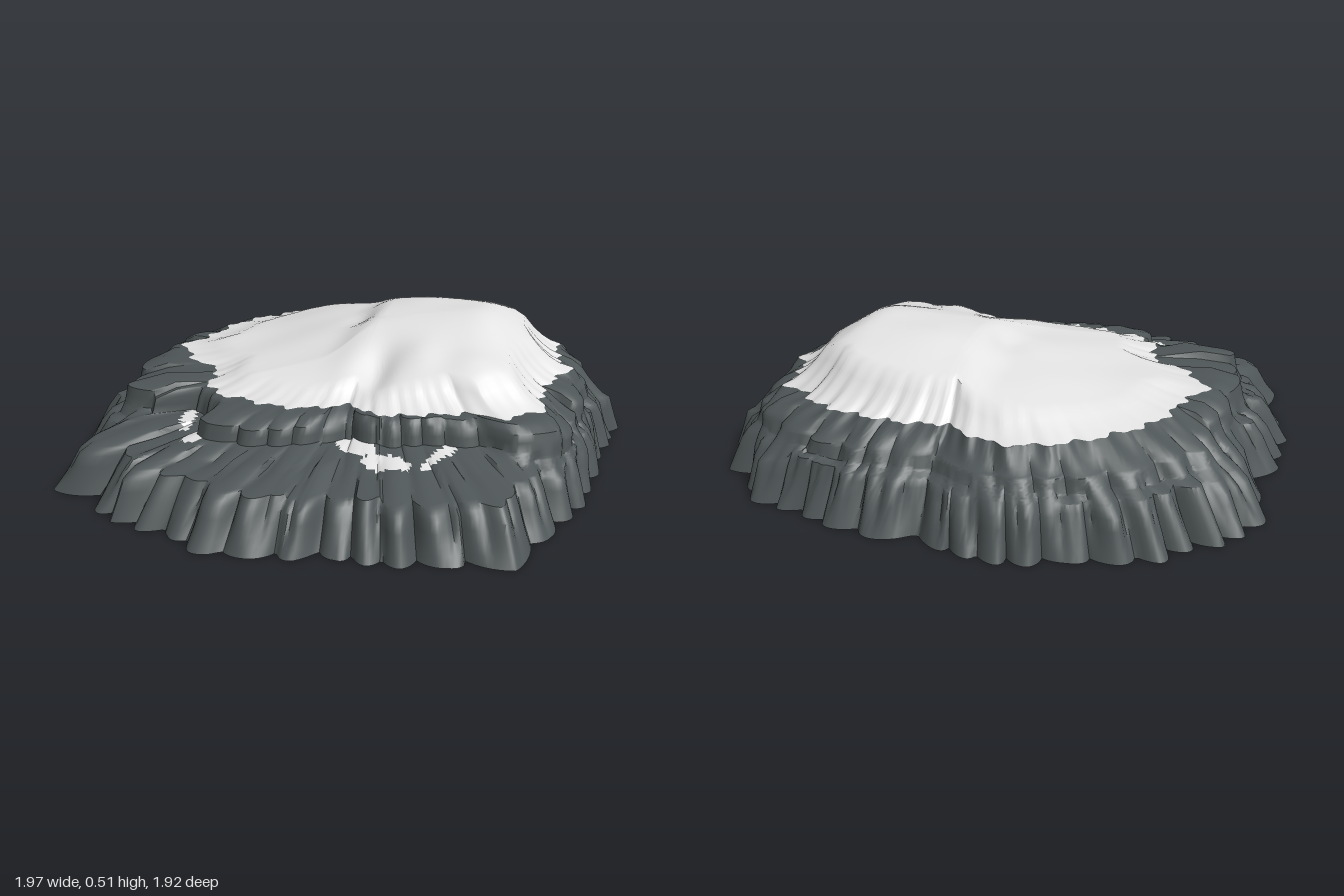
import * as THREE from 'three';
import { toCreasedNormals } from 'three/addons/utils/BufferGeometryUtils.js';

const CX = 0.08, CZ = -0.12, N = 600;
const TAU = Math.PI * 2;

// Plan outlines, listed as x, z pairs
const BASE = [0.99, -0.43, 0.95, -0.18, 0.95, 0, 0.92, 0.2, 0.9, 0.4, 0.84, 0.55, 0.76, 0.79, 0.55, 0.83, 0.35, 0.9,
  0.2, 0.88, 0, 0.94, -0.2, 0.99, -0.38, 0.9, -0.6, 0.86, -0.7, 0.73, -0.88, 0.67, -0.93, 0.4, -0.99, 0.1,
  -0.94, -0.2, -0.99, -0.4, -0.94, -0.58, -0.83, -0.66, -0.66, -0.83, -0.43, -0.91, -0.15, -0.98, 0.1, -0.91,
  0.35, -0.94, 0.55, -0.86, 0.75, -0.82, 0.8, -0.67, 0.91, -0.64];
const TIER = [0.8, -0.5, 0.84, -0.22, 0.83, 0.05, 0.83, 0.3, 0.68, 0.4, 0.55, 0.36, 0.4, 0.41, 0.2, 0.44, 0.1, 0.4,
  0.04, 0.47, -0.1, 0.54, -0.35, 0.55, -0.4, 0.52, -0.38, 0.44, -0.42, 0.36, -0.47, 0.31, -0.62, 0.4, -0.75, 0.33,
  -0.79, 0.1, -0.78, -0.2, -0.74, -0.45, -0.6, -0.62, -0.4, -0.76, -0.17, -0.82, 0.05, -0.74, 0.35, -0.76,
  0.6, -0.7, 0.75, -0.6];
const SNOW = [0.72, -0.5, 0.73, -0.35, 0.8, -0.22, 0.74, -0.1, 0.72, 0.05, 0.75, 0.2, 0.62, 0.32, 0.5, 0.3, 0.35, 0.36,
  0.2, 0.4, 0.1, 0.33, -0.1, 0.42, -0.3, 0.38, -0.38, 0.37, -0.45, 0.28, -0.47, 0.13, -0.6, 0.06, -0.72, -0.12,
  -0.65, -0.2, -0.6, -0.42, -0.48, -0.57, -0.35, -0.68, -0.17, -0.75, -0.02, -0.7, 0.05, -0.65, 0.35, -0.67,
  0.55, -0.62, 0.6, -0.56];

// Snow lying on the front shelf: x, z, half width, half depth, turn
const PATCHES = [[0.15, 0.46, 0.09, 0.045, 0.5], [0.28, 0.545, 0.085, 0.045, 0], [0.45, 0.45, 0.022, 0.12, 0.46],
  [-0.49, 0.38, 0.025, 0.1, -0.2], [-0.4, 0.53, 0.04, 0.06, 0.4]];

const mix = (a, b, f) => a + (b - a) * f;
const hash = n => { const s = Math.sin(n * 127.1 + 11.7) * 43758.5453; return s - Math.floor(s); };

// Piecewise-linear lookup in [key, value] pairs
function lookup(table, k) {
  if (k <= table[0][0]) return table[0][1];
  for (let i = 1; i < table.length; i++) {
    const [k0, v0] = table[i - 1], [k1, v1] = table[i];
    if (k <= k1) return mix(v0, v1, (k - k0) / (k1 - k0));
  }
  return table[table.length - 1][1];
}
const softLookup = (table, k) => [-0.04, -0.02, 0, 0.02, 0.04].reduce((sum, d) => sum + lookup(table, k + d), 0) / 5;

// Turns a plan outline into radius as a function of angle
function polar(flat) {
  const t = [];
  for (let i = 0; i < flat.length; i += 2) {
    const x = flat[i] - CX, z = flat[i + 1] - CZ;
    t.push([(Math.atan2(z, x) + TAU) % TAU, Math.hypot(x, z)]);
  }
  t.sort((a, b) => a[0] - b[0]);
  const first = t[0], last = t[t.length - 1];
  t.unshift([last[0] - TAU, last[1]]);
  t.push([first[0] + TAU, first[1]]);
  return a => lookup(t, a);
}

// Rounded buttresses with sharp clefts; each has its own random size
function buttress(a, count, seed) {
  const p = a / TAU * count + 0.5 * Math.sin(3 * a + seed) + 0.3 * Math.sin(8 * a + seed * 2);
  const cell = ((Math.floor(p) % count) + count) % count;
  const f = p - Math.floor(p);
  const skew = Math.pow(f, 0.6 + 0.9 * hash(cell + seed * 13));
  return { bulge: Math.sin(Math.PI * skew) ** 0.7 * (0.5 + 0.5 * hash(cell + seed * 31)), rand: hash(cell + seed * 57) };
}

// Height of the snow cap from its two side profiles
const ALONG_X = [[-0.72, 0], [-0.6, 0.1], [-0.4, 0.24], [-0.2, 0.45], [-0.03, 0.6], [0.05, 0.87], [0.2, 0.97],
  [0.48, 1.02], [0.56, 0.8], [0.7, 0.4], [0.82, 0.05]];
const ALONG_Z = [[-0.76, 0], [-0.7, 0.15], [-0.6, 0.5], [-0.5, 0.75], [-0.35, 0.98], [-0.2, 1.02], [-0.1, 0.94],
  [0, 0.78], [0.2, 0.45], [0.4, 0.1]];
function capHeight(x, z, t) {
  const dip = (px, pz, w, d) => Math.exp(-(((x - px) / w) ** 2) - (((z - pz) / d) ** 2));
  const fx = softLookup(ALONG_X, x), fz = softLookup(ALONG_Z, z);
  const body = 0.205 * mix(fx * fz, Math.min(fx, fz), 0.4);
  const folds = -0.04 * dip(0.15, 0.2, 0.06, 0.13) + 0.025 * dip(0.3, 0.12, 0.08, 0.1)
    - 0.02 * dip(0, -0.2, 0.05, 0.08) + 0.02 * dip(0.5, 0.15, 0.12, 0.08)
    + 0.004 * Math.sin(13 * x + 5 * z) * Math.sin(11 * z);
  return 0.3 + Math.min(1, (1 - t) / 0.2) * (body + folds);
}

// Ring numbers between which the shelf lies
const SHELF_START = 6, SHELF_END = 22;

function createColumns() {
  const base = polar(BASE), tier = polar(TIER), snow = polar(SNOW);
  return Array.from({ length: N }, (_, j) => {
    const a = j / N * TAU, ca = Math.cos(a), sa = Math.sin(a);
    const b1 = buttress(a, 46, 1), b2 = buttress(a, 38, 2), b3 = buttress(a, 57, 3);
    // The front and left are terraced; the back and right fall in one slope
    const w = THREE.MathUtils.smoothstep(sa - 0.35 * ca, -0.1, 0.5);
    const jag = 0.012 * Math.sin(31 * a) + 0.008 * Math.sin(67 * a + 1);
    const rs = snow(a), edge = rs + jag;
    const ro = base(a) * (0.935 + 0.075 * b1.bulge);
    const rt = Math.max(tier(a) * (0.965 + 0.05 * b2.bulge), edge + 0.03);
    const slopeRim = mix(ro, rt, 0.5) + 0.025 * (b3.bulge - 0.5);
    const shelfRim = base(a) * (0.83 + 0.055 * b1.bulge + 0.035 * b3.bulge);
    const rim = Math.max(mix(slopeRim, shelfRim, w), rt + 0.035);
    const rimY = mix(0.155, 0.16, w) + 0.03 * (b1.rand - 0.3);
    const lip = mix(0.25, 0.275, w) + 0.03 * b2.rand;
    // Cliff profile from the ground to the snow line: radius, height, subdivisions
    const keys = [[ro, 0, 0], [mix(ro, rim, 0.35) + 0.012 * (b3.bulge - 0.5), 0.06, 2],
      [mix(ro, rim, 0.7) + 0.02 * (b3.bulge - 0.5), 0.115 + 0.02 * b3.rand, 2], [rim, rimY, 2],
      [mix(rim, rt, 0.5), mix(0.19, 0.187, w) + 0.025 * (b3.rand - 0.5) + 0.012 * (b2.bulge - 0.5), 8],
      [rt + 0.015, mix(0.225, 0.205, w) + 0.015 * b2.rand, 8], [rt, lip - 0.02, 2],
      [mix(rt, edge, 0.4), lip + 0.005, 2], [edge, 0.3, 2]];
    const col = [[ro, 0]];
    for (let k = 1; k < keys.length; k++) {
      const [r0, y0] = keys[k - 1], [r, y, n] = keys[k];
      for (let s = 1; s <= n; s++) col.push([mix(r0, r, s / n), mix(y0, y, s / n)]);
    }
    const pts = col.map(([r, y]) => [CX + r * ca, y, CZ + r * sa]);
    const rockRings = pts.length - 1;
    for (let s = 1; s <= 20; s++) {
      const t = 1 - s / 20, r = rs * t + jag * t ** 8, x = CX + r * ca, z = CZ + r * sa;
      pts.push([x, capHeight(x, z, t), z]);
    }
    return { pts, rockRings };
  });
}

function surface(name, triangles, material) {
  const g = new THREE.BufferGeometry();
  g.setAttribute('position', new THREE.Float32BufferAttribute(triangles.flat(2), 3));
  const mesh = new THREE.Mesh(toCreasedNormals(g, 0.75), material);
  mesh.name = name;
  return mesh;
}

function inPatch(x, z) {
  return PATCHES.some(([px, pz, w, d, turn]) => {
    const c = Math.cos(turn), s = Math.sin(turn), dx = x - px, dz = z - pz;
    return ((dx * c + dz * s) / w) ** 2 + ((dz * c - dx * s) / d) ** 2 < 1;
  });
}

export function createModel() {
  const rock = new THREE.MeshStandardMaterial({ color: 0x4f5657 });
  rock.name = 'dark rock';
  const white = new THREE.MeshStandardMaterial({ color: 0xe4e4e4 });
  white.name = 'snow white';

  const columns = createColumns();
  const cliff = [], cap = [], patches = [], floor = [];
  for (let j = 0; j < N; j++) {
    const { pts: p, rockRings } = columns[j];
    const q = columns[(j + 1) % N].pts;
    floor.push([[CX, 0, CZ], p[0], q[0]]);
    for (let i = 0; i < p.length - 1; i++) {
      const x = (p[i][0] + q[i + 1][0]) / 2, z = (p[i][2] + q[i + 1][2]) / 2;
      const onShelf = i >= SHELF_START && i < SHELF_END;
      const list = i >= rockRings ? cap : onShelf && inPatch(x, z) ? patches : cliff;
      list.push([p[i], p[i + 1], q[i]]);
      if (i < p.length - 2) list.push([q[i], p[i + 1], q[i + 1]]);
    }
  }

  const model = new THREE.Group();
  model.name = 'snowyRockMound';
  model.add(surface('rockCliffs', cliff, rock), surface('rockUnderside', floor, rock),
    surface('snowCap', cap, white), surface('shelfSnow', patches, white));
  return model;
}
